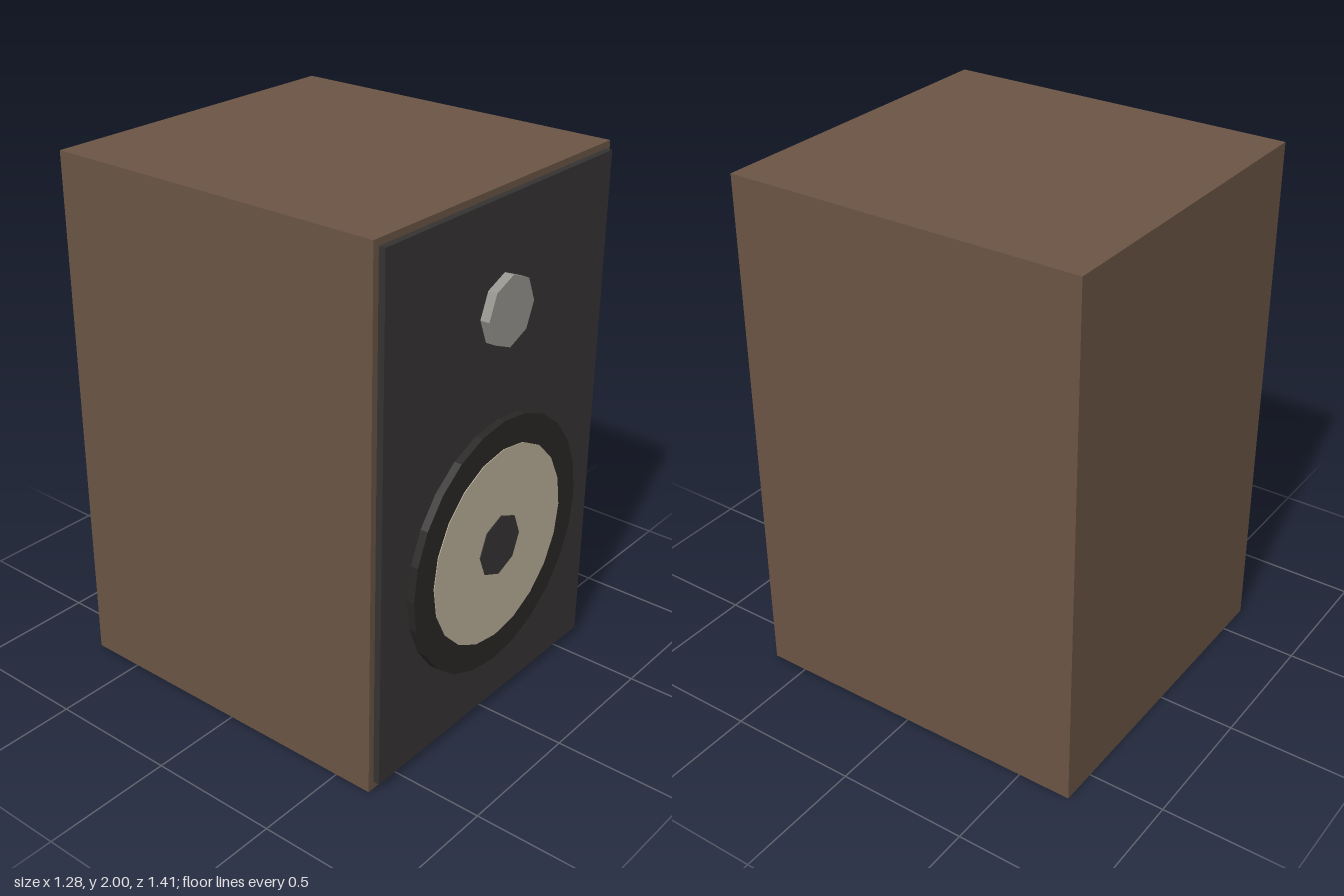
import * as THREE from 'three';

const FRONT = 0.705;      // foremost plane of the drivers
const BAFFLE = 0.67;      // face of the baffle
const CABINET = 0.645;    // front of the cabinet

function paint(color) {
  return new THREE.MeshStandardMaterial({ color, flatShading: true });
}

export function createModel() {
  const group = new THREE.Group();

  function add(name, geometry, color, x, y, z) {
    const mesh = new THREE.Mesh(geometry, paint(color));
    mesh.name = name;
    mesh.position.set(x, y, z);
    group.add(mesh);
  }

  // A faceted disc facing +z, reaching from the baffle to the given depth
  function addDisc(name, radius, sides, color, y, front) {
    const depth = front - BAFFLE;
    const geometry = new THREE.CylinderGeometry(radius, radius, depth, sides).rotateX(Math.PI / 2);
    add(name, geometry, color, 0, y, BAFFLE + depth / 2);
  }

  // Wooden box and the dark panel on its front
  add('cabinet', new THREE.BoxGeometry(1.284, 2, CABINET + FRONT), 0x6a5444, 0, 1, (CABINET - FRONT) / 2);
  add('baffle', new THREE.BoxGeometry(1.234, 1.946, BAFFLE - CABINET), 0x353332, 0, 1.003, (CABINET + BAFFLE) / 2);

  // Small high-frequency driver
  addDisc('tweeter', 0.127, 8, 0x95938d, 1.59, FRONT);

  // Large driver: surround, pale cone and dust cap, each barely proud of the last
  addDisc('wooferSurround', 0.481, 24, 0x282726, 0.71, FRONT - 0.006);
  addDisc('wooferCone', 0.375, 20, 0xb8af98, 0.71, FRONT - 0.003);
  addDisc('dustCap', 0.117, 8, 0x353332, 0.71, FRONT);

  return group;
}
